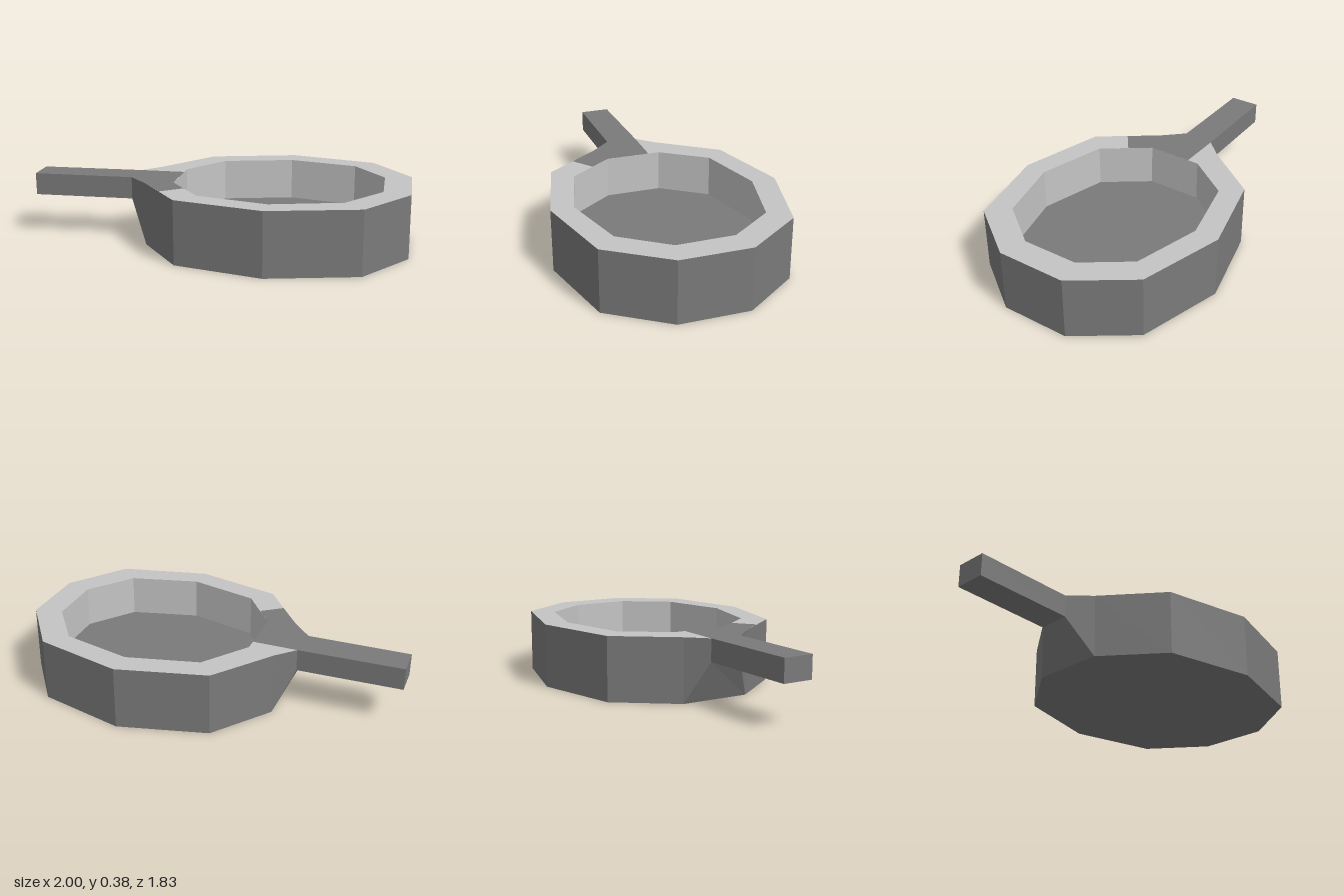
import * as THREE from 'three';

const TOP = 0.385, FLOOR = 0.13, GRIP = 0.25;

// Corner points as [x, z], clockwise seen from above
const OUTER = [[0.275, -0.915], [0.69, -0.81], [0.965, -0.48], [1, -0.05], [0.67, 0.39],
  [0.18, 0.63], [-0.24, 0.53], [-0.515, 0.2], [-0.54, -0.235], [-0.22, -0.68]];
const INNER = [[0.265, -0.755], [0.59, -0.675], [0.815, -0.41], [0.835, -0.07], [0.585, 0.28],
  [0.19, 0.47], [-0.14, 0.39], [-0.36, 0.125], [-0.385, -0.21], [-0.125, -0.565]];
const NECK = [[-0.41, 0.51], [-0.525, 0.355]];
const END = [[-0.88, 0.91], [-1, 0.77]];

// Flat faces, each a convex loop of 3D corners
function faces(loops) {
  const pos = [];
  for (const l of loops)
    for (let i = 1; i < l.length - 1; i++) pos.push(...l[0], ...l[i], ...l[i + 1]);
  const g = new THREE.BufferGeometry();
  g.setAttribute('position', new THREE.Float32BufferAttribute(pos, 3));
  g.computeVertexNormals();
  return g;
}

const at = ([x, z], y) => [x, y, z];

// Upright wall from a to b, with its own lower height at each end
const wall = (a, b, ya = 0, yb = 0) => [at(a, ya), at(a, TOP), at(b, TOP), at(b, yb)];

// Horizontal polygon facing up or down
function plate(points, y, up = true) {
  const s = up ? -1 : 1;
  const shape = new THREE.Shape(points.map(([x, z]) => new THREE.Vector2(x, s * z)));
  return new THREE.ShapeGeometry(shape).rotateX(s * Math.PI / 2).translate(0, y, 0);
}

export function createModel() {
  const dark = new THREE.MeshStandardMaterial({ color: 0x7a7a7a });
  dark.name = 'dark grey';
  const light = new THREE.MeshStandardMaterial({ color: 0xc4c4c4 });
  light.name = 'light grey';

  const model = new THREE.Group();
  model.name = 'pan';
  const add = (name, geometry, material) => {
    const mesh = new THREE.Mesh(geometry, material);
    mesh.name = name;
    model.add(mesh);
  };

  // Bowl: ten-sided shell, open where the handle flares out
  const sides = [];
  OUTER.forEach((p, i) => {
    if (i !== 6) sides.push(wall(p, OUTER[(i + 1) % 10]));
  });
  add('outerWall', faces(sides), dark);
  add('base', plate(OUTER, 0, false), dark);
  add('innerWall', faces(INNER.map((p, i) => wall(INNER[(i + 1) % 10], p, FLOOR, FLOOR))), light);
  add('floor', plate(INNER, FLOOR), dark);

  // Rim, interrupted by the dark handle root
  const cutOut = [-0.025, 0.58], cutIn = [0.01, 0.427], cutBack = [-0.315, 0.18];
  const rim = [cutOut, NECK[1], OUTER[7], OUTER[8], OUTER[9], ...OUTER.slice(0, 6)];
  const rimLoop = [...rim.slice(1), cutOut, cutIn,
    ...INNER.slice(0, 6).reverse(), INNER[9], INNER[8], INNER[7], cutBack];
  add('rim', plate(rimLoop, TOP), light);

  // Flared neck joining bowl and handle
  const [p6, p7] = [OUTER[6], OUTER[7]];
  const [n0, n1] = NECK, [e0, e1] = END;
  add('neck', faces([
    wall(p6, n0, 0, GRIP),
    wall(n1, p7, GRIP, 0),
    [at(p6, 0), at(n0, GRIP), at(n1, GRIP), at(p7, 0)],
  ]), dark);
  add('neckTop', plate([cutOut, cutIn, INNER[6], cutBack, n1, n0, p6], TOP), dark);

  // Handle: square bar
  add('handle', faces([
    wall(n0, e0, GRIP, GRIP),
    wall(e0, e1, GRIP, GRIP),
    wall(e1, n1, GRIP, GRIP),
    [at(n0, GRIP), at(e0, GRIP), at(e1, GRIP), at(n1, GRIP)],
    [at(n0, TOP), at(n1, TOP), at(e1, TOP), at(e0, TOP)],
  ]), dark);

  return model;
}
